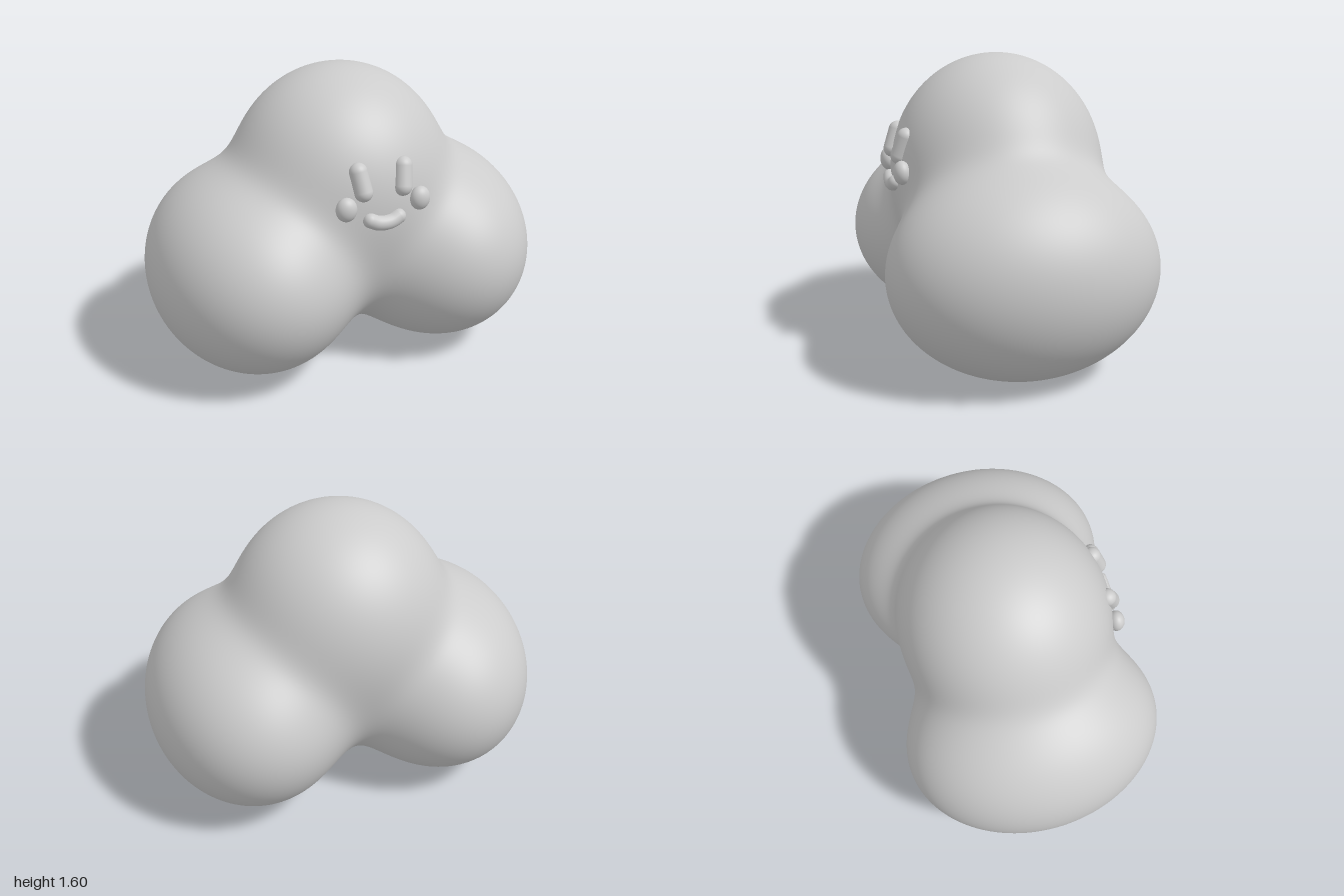
import * as THREE from 'three';
import { mergeVertices } from 'three/addons/utils/BufferGeometryUtils.js';

const material = new THREE.MeshStandardMaterial({ color: 0xcccccc });

// Ellipsoid lobes (centre, radii) that melt into one soft body
const leftLobe = { c: [0.532, 0.553, 0], r: [0.54, 0.552, 0.703] };
const rightLobe = { c: [-0.532, 0.553, 0], r: [0.54, 0.552, 0.703] };
const topLobe = { c: [0, 1.0, 0], r: [0.585, 0.603, 0.565] };

// Approximate distance to a lobe: negative inside
function lobeDistance(p, { c, r }) {
  const q = Math.hypot((p.x - c[0]) / r[0], (p.y - c[1]) / r[1], (p.z - c[2]) / r[2]);
  return (q - 1) * 0.6;
}

// Smooth union of two distances with softness k
const blend = (a, b, k) => -k * Math.log(Math.exp(-a / k) + Math.exp(-b / k));

// The side lobes merge softly, the top lobe with a tighter crease
function field(p) {
  const sides = blend(lobeDistance(p, leftLobe), lobeDistance(p, rightLobe), 0.15);
  return blend(sides, lobeDistance(p, topLobe), 0.075);
}

// Push each vertex of a fine ball outward until it meets the blended surface
function bodyGeometry() {
  let geo = new THREE.IcosahedronGeometry(1, 44);
  geo.deleteAttribute('uv');
  geo.deleteAttribute('normal');
  geo = mergeVertices(geo, 1e-5);
  const pos = geo.attributes.position;
  const centre = new THREE.Vector3(0, 0.68, 0);
  const dir = new THREE.Vector3();
  const p = new THREE.Vector3();
  for (let i = 0; i < pos.count; i++) {
    dir.fromBufferAttribute(pos, i).normalize();
    let near = 0, far = 2;
    for (let k = 0; k < 26; k++) {
      const mid = (near + far) / 2;
      p.copy(centre).addScaledVector(dir, mid);
      if (field(p) < 0) near = mid; else far = mid;
    }
    pos.setXYZ(i, p.x, p.y, p.z);
  }
  geo.computeVertexNormals();
  return geo;
}

function addMesh(parent, name, geometry) {
  const mesh = new THREE.Mesh(geometry, material);
  mesh.name = name;
  parent.add(mesh);
  return mesh;
}

export function createModel() {
  const model = new THREE.Group();
  model.name = 'cloud';
  model.rotation.y = THREE.MathUtils.degToRad(43.4);
  addMesh(model, 'body', bodyGeometry());

  const face = new THREE.Group();
  face.name = 'face';
  model.add(face);

  for (const [side, s] of [['left', 1], ['right', -1]]) {
    // Long eyes leaning outward and back with the surface
    const top = new THREE.Vector3(s * 0.122, 1.194, 0.517);
    const bottom = new THREE.Vector3(s * 0.107, 1.096, 0.55);
    const axis = top.clone().sub(bottom);
    const eye = addMesh(face, `${side}Eye`, new THREE.CapsuleGeometry(0.047, axis.length(), 12, 28));
    eye.position.copy(top).add(bottom).multiplyScalar(0.5);
    eye.quaternion.setFromUnitVectors(new THREE.Vector3(0, 1, 0), axis.normalize());

    // Flattened round cheeks
    const cheek = addMesh(face, `${side}Cheek`, new THREE.SphereGeometry(1, 28, 20));
    cheek.scale.set(0.054, 0.062, 0.044);
    cheek.position.set(s * 0.201, 1.023, 0.557);
    cheek.rotation.y = s * 0.1;
  }

  // Smiling mouth: a curved tube with round ends
  const mouth = new THREE.Group();
  mouth.name = 'mouth';
  face.add(mouth);
  const smile = new THREE.CatmullRomCurve3([
    [-0.077, 0.95, 0.569], [-0.04, 0.934, 0.573], [0, 0.929, 0.575],
    [0.04, 0.934, 0.573], [0.077, 0.95, 0.569],
  ].map((v) => new THREE.Vector3(...v)));
  addMesh(mouth, 'smile', new THREE.TubeGeometry(smile, 32, 0.038, 20));
  for (const t of [0, 1]) {
    addMesh(mouth, 'smileEnd', new THREE.SphereGeometry(0.038, 20, 16)).position.copy(smile.getPoint(t));
  }

  const root = new THREE.Group();
  root.name = 'cloudWithFace';
  root.add(model);
  return root;
}
